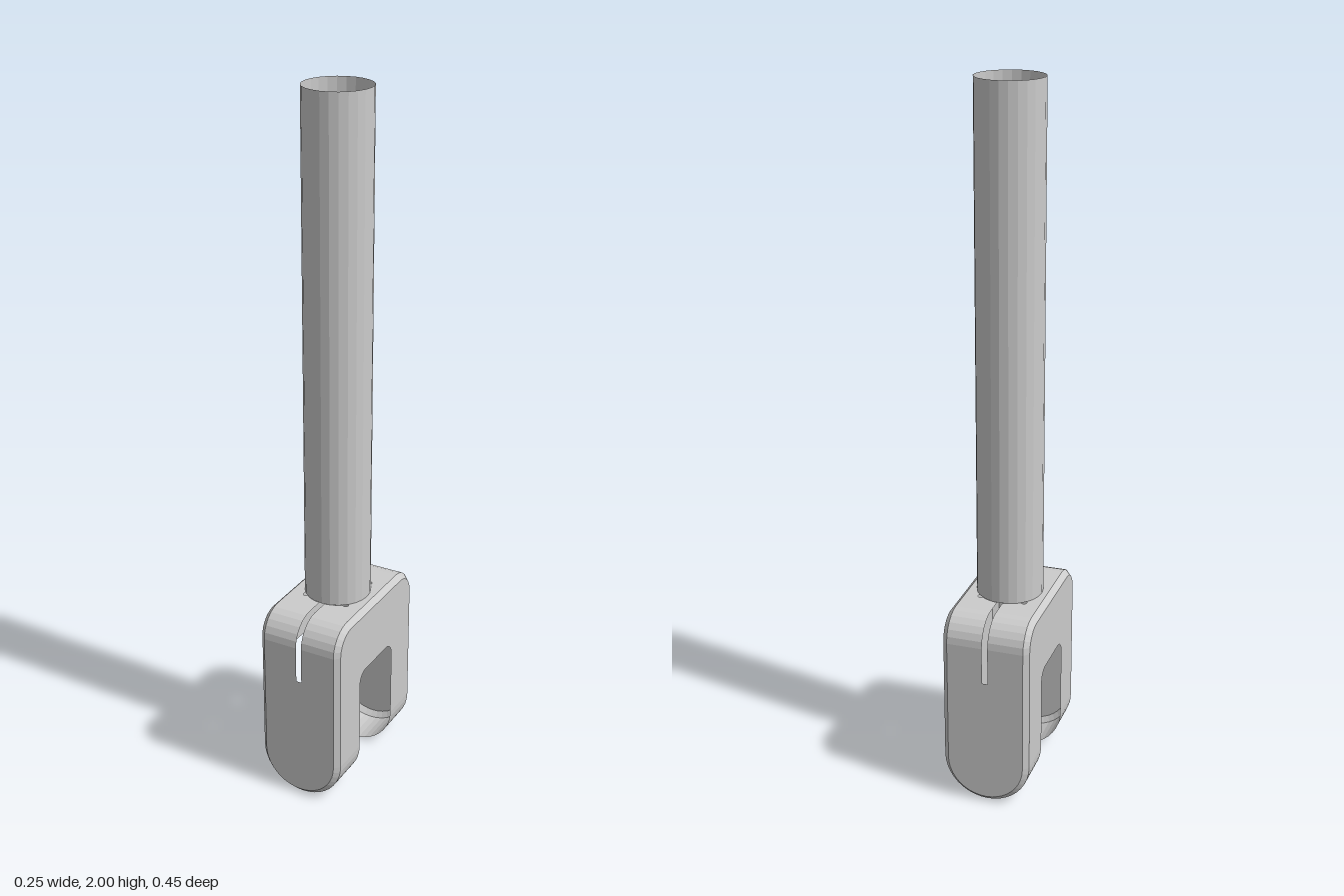
import * as THREE from 'three';

const TOP = 0.565, HX = 0.125, HZ = 0.227; // fork height, half width, half depth
const C = 0.015, R = 0.078;                // chamfer, bend radius
const GAP = 0.097, GAP_Y = 0.37, GAP_R = 0.035; // opening between the legs
const SLOT = 0.008, SLOT_Y = 0.38;         // half width and bottom of the slots
const BY = TOP - R, BZ = HZ - R;           // centre of the bend
const FX = HX - C, FZ = HZ - C;            // flat extents inside the chamfers
const TUBE_R = 0.094;

const material = new THREE.MeshStandardMaterial({
  color: 0xcccccc, flatShading: true, side: THREE.DoubleSide,
});

// Points on an arc as [u, v]
function arc(cu, cv, r, from, to, n) {
  return Array.from({ length: n + 1 }, (_, i) => {
    const a = from + ((to - from) * i) / n;
    return [cu + r * Math.cos(a), cv + r * Math.sin(a)];
  });
}

// Strip of sheet between two rows of 3D points
function ribbon(a, b) {
  const index = [];
  for (let i = 0; i < a.length - 1; i++) {
    const j = a.length + i;
    index.push(i, i + 1, j + 1, i, j + 1, j);
  }
  const geo = new THREE.BufferGeometry();
  geo.setAttribute('position', new THREE.Float32BufferAttribute([...a, ...b].flat(), 3));
  geo.setIndex(index);
  geo.computeVertexNormals();
  return geo;
}

export function createModel() {
  const model = new THREE.Group();
  const fork = new THREE.Group();
  fork.name = 'fork';
  model.add(fork);

  const add = (name, geo, parent = fork) => {
    const mesh = new THREE.Mesh(geo, material);
    mesh.name = name;
    parent.add(mesh);
    return mesh;
  };

  // Open tube standing on the fork
  const tube = add('tube', new THREE.CylinderGeometry(TUBE_R, TUBE_R, 2 - TOP, 24, 1, true), model);
  tube.position.y = (2 + TOP) / 2;

  // Half of the top plate, with half the keyed hole and its corner reliefs
  const a0 = Math.acos(SLOT / TUBE_R);
  const top = new THREE.Shape();
  top.moveTo(SLOT, BZ);
  top.lineTo(FX, BZ);
  top.lineTo(FX, -BZ);
  top.lineTo(SLOT, -BZ);
  const edge = [
    ...arc(0, 0, TUBE_R, a0, 0.925, 8),
    ...arc(0.064, 0.071, 0.008, 2.65, -1.69, 10),
  ];
  edge.slice().forEach(([x, z]) => top.lineTo(x, -z));
  edge.slice().reverse().forEach(([x, z]) => top.lineTo(x, z));
  top.closePath();

  // Side plate with the rounded opening between the legs
  const side = new THREE.Shape();
  side.moveTo(GAP, HX);
  side.lineTo(FZ, HX);
  side.absarc(BZ, BY, R - C, 0, Math.PI / 2, false);
  side.absarc(-BZ, BY, R - C, Math.PI / 2, Math.PI, false);
  side.lineTo(-FZ, HX);
  side.lineTo(-GAP, HX);
  side.absarc(-GAP + GAP_R, GAP_Y - GAP_R, GAP_R, Math.PI, Math.PI / 2, true);
  side.absarc(GAP - GAP_R, GAP_Y - GAP_R, GAP_R, Math.PI / 2, 0, true);
  side.closePath();

  // Outline of half the fork seen from the side, for inner and outer chamfer edges
  const outline = (hz, r) => [
    [hz, HX],
    ...arc(BZ, BY, r, 0, Math.PI / 2, 6),
    ...arc(-BZ, BY, r, Math.PI / 2, Math.PI, 6),
    [-hz, HX],
  ];

  for (const s of [1, -1]) {
    const topPlate = add('topPlate', new THREE.ShapeGeometry(top, 8).rotateX(Math.PI / 2));
    topPlate.position.y = TOP;
    topPlate.rotation.y = s > 0 ? 0 : Math.PI;

    const sidePlate = add('sidePlate', new THREE.ShapeGeometry(side, 6).rotateY(-Math.PI / 2));
    sidePlate.position.x = s * HX;

    add('sideChamfer', ribbon(
      outline(FZ, R - C).map(([z, y]) => [s * HX, y, z]),
      outline(HZ, R).map(([z, y]) => [s * FX, y, z]),
    ));
  }

  // End face with round foot and slot
  const end = new THREE.Shape();
  end.moveTo(-FX, BY);
  end.lineTo(-FX, HX);
  end.absarc(0, HX, FX, Math.PI, 2 * Math.PI, false);
  end.lineTo(FX, BY);
  end.lineTo(SLOT, BY);
  end.lineTo(SLOT, SLOT_Y);
  end.lineTo(-SLOT, SLOT_Y);
  end.lineTo(-SLOT, BY);
  end.closePath();

  for (const s of [1, -1]) {
    const leg = new THREE.Group();
    leg.name = s > 0 ? 'frontLeg' : 'backLeg';
    fork.add(leg);
    add('endFace', new THREE.ShapeGeometry(end, 10), leg).position.z = s * HZ;

    // Bend into the top plate, either side of the slot
    const bend = arc(BZ, BY, R, 0, Math.PI / 2, 6);
    for (const m of [1, -1]) {
      add('bend', ribbon(
        bend.map(([z, y]) => [m * SLOT, y, s * z]),
        bend.map(([z, y]) => [m * FX, y, s * z]),
      ), leg);
    }

    // Round foot wall, open toward the gap, and its chamfer
    const foot = (r, z) => arc(0, HX, r, Math.PI, 2 * Math.PI, 20).map(([x, y]) => [x, y, s * z]);
    add('footWall', ribbon(foot(HX, GAP), foot(HX, FZ)), leg);
    add('footChamfer', ribbon(foot(HX, FZ), foot(FX, HZ)), leg);
  }
  return model;
}
